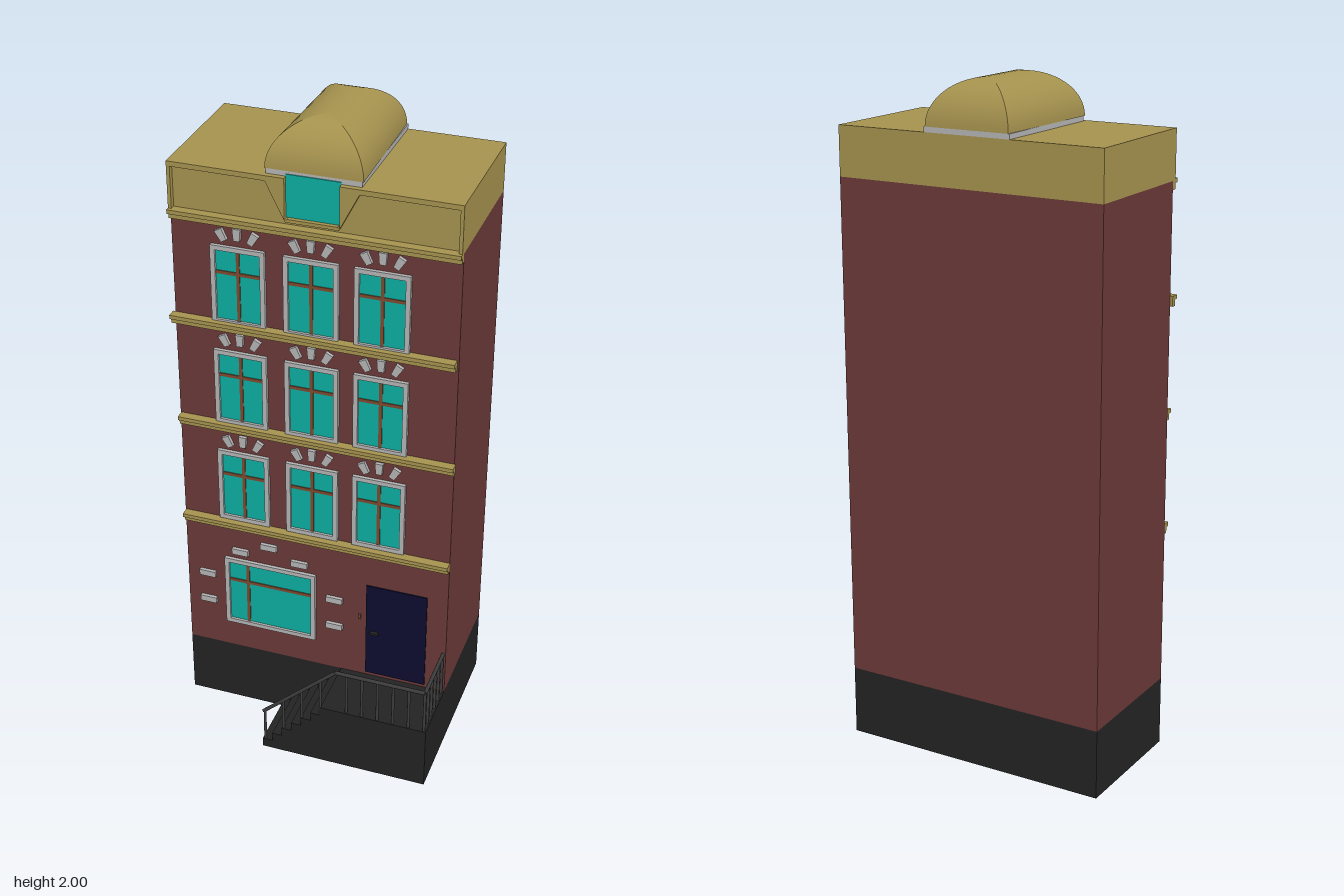
import * as THREE from 'three';

const mat = (color) => new THREE.MeshStandardMaterial({ color });
const brick = mat(0x6b3939), gold = mat(0xa5924e), black = mat(0x232323), iron = mat(0x3c3c3c);
const stone = mat(0xb4b4b4), glass = mat(0x0cada0), wood = mat(0x7d4a30), navy = mat(0x0c0c30);
const WALL = 0.105, BACK = -0.3, HALF = 0.417;

export function createModel() {
  const model = new THREE.Group();

  const add = (name, geometry, material, parent = model) => {
    const mesh = new THREE.Mesh(geometry, material);
    mesh.name = name;
    parent.add(mesh);
    return mesh;
  };
  // Box given by its limits on each axis
  const box = (name, material, x0, x1, y0, y1, z0, z1, parent) => {
    const mesh = add(name, new THREE.BoxGeometry(x1 - x0, y1 - y0, z1 - z0), material, parent);
    mesh.position.set((x0 + x1) / 2, (y0 + y1) / 2, (z0 + z1) / 2);
    return mesh;
  };
  // Outline in x and y, extruded from z0 to z1
  const slab = (name, material, points, z0, z1, parent) => {
    const shape = new THREE.Shape(points.map(([x, y]) => new THREE.Vector2(x, y)));
    const geometry = new THREE.ExtrudeGeometry(shape, { depth: z1 - z0, bevelEnabled: false });
    return add(name, geometry.translate(0, 0, z0), material, parent);
  };
  // Round bar between two points
  const bar = (name, a, b, radius, parent) => {
    const from = new THREE.Vector3(...a), to = new THREE.Vector3(...b);
    const dir = to.clone().sub(from);
    const mesh = add(name, new THREE.CylinderGeometry(radius, radius, dir.length(), 8), iron, parent);
    mesh.position.copy(from).add(to).multiplyScalar(0.5);
    mesh.quaternion.setFromUnitVectors(new THREE.Vector3(0, 1, 0), dir.normalize());
  };

  // Main volumes
  box('foundation', black, -HALF, HALF, 0, 0.21, BACK, WALL);
  box('brickWalls', brick, -HALF, HALF, 0.21, 1.71, BACK, WALL);
  box('parapet', gold, -HALF, HALF, 1.71, 1.855, BACK, WALL);

  // Parapet front: raised rim running down beside the dormer window
  for (const s of [-1, 1]) {
    slab('parapetRim', gold, [
      [0.417, 1.71], [0.417, 1.855], [0.078, 1.855], [0.078, 1.735], [0.07, 1.735],
      [0.07, 1.727], [0.076, 1.727], [0.133, 1.84], [0.407, 1.84], [0.407, 1.71],
    ].map(([x, y]) => [s * x, y]), WALL, 0.121);
  }
  box('dormerSill', gold, -0.072, 0.072, 1.727, 1.737, WALL, 0.121);
  box('dormerWindow', glass, -0.078, 0.078, 1.737, 1.862, WALL - 0.01, WALL + 0.003);

  // Stepped ledges between the floors
  const ledge = (y, x0, x1) => {
    const group = new THREE.Group();
    group.name = 'ledge';
    box('ledgeTop', gold, x0, x1, y - 0.012, y, WALL, 0.133, group);
    box('ledgeBottom', gold, x0, x1, y - 0.03, y - 0.012, WALL, 0.121, group);
    model.add(group);
  };
  ledge(1.715, -HALF, HALF);
  ledge(1.385, -0.425, 0.412);
  ledge(1.048, -0.415, 0.421);
  ledge(0.7, -0.415, 0.417);

  // Dormer roof: a vault curved on all four sides, with sharp hips
  box('dormerBase', stone, -0.135, 0.135, 1.855, 1.87, BACK, WALL);
  const N = 14;
  const corners = (i) => {
    const t = (i / N) * Math.PI / 2, c = Math.cos(t), y = 1.87 + 0.13 * Math.sin(t);
    const zf = WALL - 0.115 * (1 - c), zb = BACK + 0.115 * (1 - c);
    return [[-0.139 * c, y, zf], [0.139 * c, y, zf], [0.131 * c, y, zb], [-0.131 * c, y, zb]];
  };
  for (let side = 0; side < 4; side++) {
    const pos = [], index = [];
    for (let i = 0; i <= N; i++) {
      const ring = corners(i);
      pos.push(...ring[side], ...ring[(side + 1) % 4]);
      if (i < N) {
        const k = i * 2;
        index.push(k, k + 1, k + 3, k, k + 3, k + 2);
      }
    }
    const geometry = new THREE.BufferGeometry();
    geometry.setAttribute('position', new THREE.Float32BufferAttribute(pos, 3));
    geometry.setIndex(index);
    geometry.computeVertexNormals();
    add('dormerRoof', geometry, gold);
  }

  // Window with stone surround and glazing bars
  const makeWindow = (x0, x1, y0, y1, barX, barY) => {
    const group = new THREE.Group(), f = 0.014;
    group.name = 'window';
    box('pane', glass, x0 + f, x1 - f, y0 + f, y1 - f, WALL, 0.108, group);
    box('uprightBar', wood, barX - 0.005, barX + 0.005, y0 + f, y1 - f, WALL, 0.111, group);
    box('crossBar', wood, x0 + f, x1 - f, barY - 0.005, barY + 0.005, WALL, 0.111, group);
    box('surroundLeft', stone, x1 - f, x1, y0, y1, WALL, 0.116, group);
    box('surroundRight', stone, x0, x0 + f, y0, y1, WALL, 0.116, group);
    box('surroundTop', stone, x0 + f, x1 - f, y1 - f, y1, WALL, 0.116, group);
    box('surroundBottom', stone, x0 + f, x1 - f, y0, y0 + f, WALL, 0.116, group);
    model.add(group);
  };

  // Three floors of three windows, each crowned by three arch stones
  for (const [y0, y1] of [[0.703, 0.947], [1.045, 1.289], [1.377, 1.621]]) {
    for (const x of [-0.221, -0.007, 0.198]) {
      makeWindow(x - 0.08, x + 0.08, y0, y1, x, y1 - 0.083);
      for (const s of [-1, 0, 1]) {
        const archStone = slab('archStone', stone,
          [[-0.009, -0.018], [0.009, -0.018], [0.012, 0.018], [-0.012, 0.018]], WALL, 0.116);
        archStone.position.set(x + s * 0.046, y1 + (s ? 0.033 : 0.04), 0);
        archStone.rotation.z = -s * 0.5;
      }
    }
  }

  // Ground floor window and the stones around it
  makeWindow(-0.291, 0.002, 0.307, 0.553, -0.217, 0.472);
  for (const [x, y] of [[-0.35, 0.477], [-0.35, 0.377], [0.063, 0.477], [0.063, 0.377],
    [-0.24, 0.583], [-0.049, 0.583], [-0.147, 0.622]]) {
    box('wallStone', stone, x - 0.026, x + 0.026, y - 0.01, y + 0.01, WALL, 0.116);
  }

  // Door
  box('door', navy, 0.164, 0.354, 0.222, 0.556, WALL, 0.109);
  box('doorHandle', black, 0.18, 0.205, 0.38, 0.387, WALL, 0.12);
  box('doorbell', wood, 0.14, 0.147, 0.426, 0.442, WALL, 0.112);

  // Landing with seven steps down to the model's right
  const outline = [[HALF, 0], [HALF, 0.21]];
  for (let i = 7; i > 0; i--) {
    const x = -0.105 + (i - 1) * 0.0315;
    outline.push([x, i * 0.03], [x, (i - 1) * 0.03]);
  }
  slab('steps', black, outline, WALL, 0.3);

  // Railing
  const railing = new THREE.Group();
  railing.name = 'railing';
  model.add(railing);
  const Z = 0.293, X = 0.409, TOP = 0.355, R = 0.006;
  bar('slopingRail', [-0.102, 0.138, Z], [0.13, TOP, Z], R, railing);
  bar('frontRail', [0.13, TOP, Z], [X, TOP, Z], R, railing);
  bar('sideRail', [X, TOP, Z], [X, TOP, WALL], R, railing);
  for (let i = 0; i < 4; i++) {
    const x = -0.098 + i * 0.06;
    bar('stepPost', [x, i * 0.057, Z], [x, 0.142 + i * 0.056, Z], 0.0045, railing);
  }
  for (let i = 0; i < 6; i++) {
    const x = 0.165 + (i * (X - 0.165)) / 5;
    bar('frontPost', [x, 0.2, Z], [x, TOP, Z], 0.0045, railing);
  }
  for (let i = 1; i < 6; i++) {
    const z = Z - i * 0.036;
    bar('sidePost', [X, 0.2, z], [X, TOP, z], 0.0045, railing);
  }

  return model;
}
